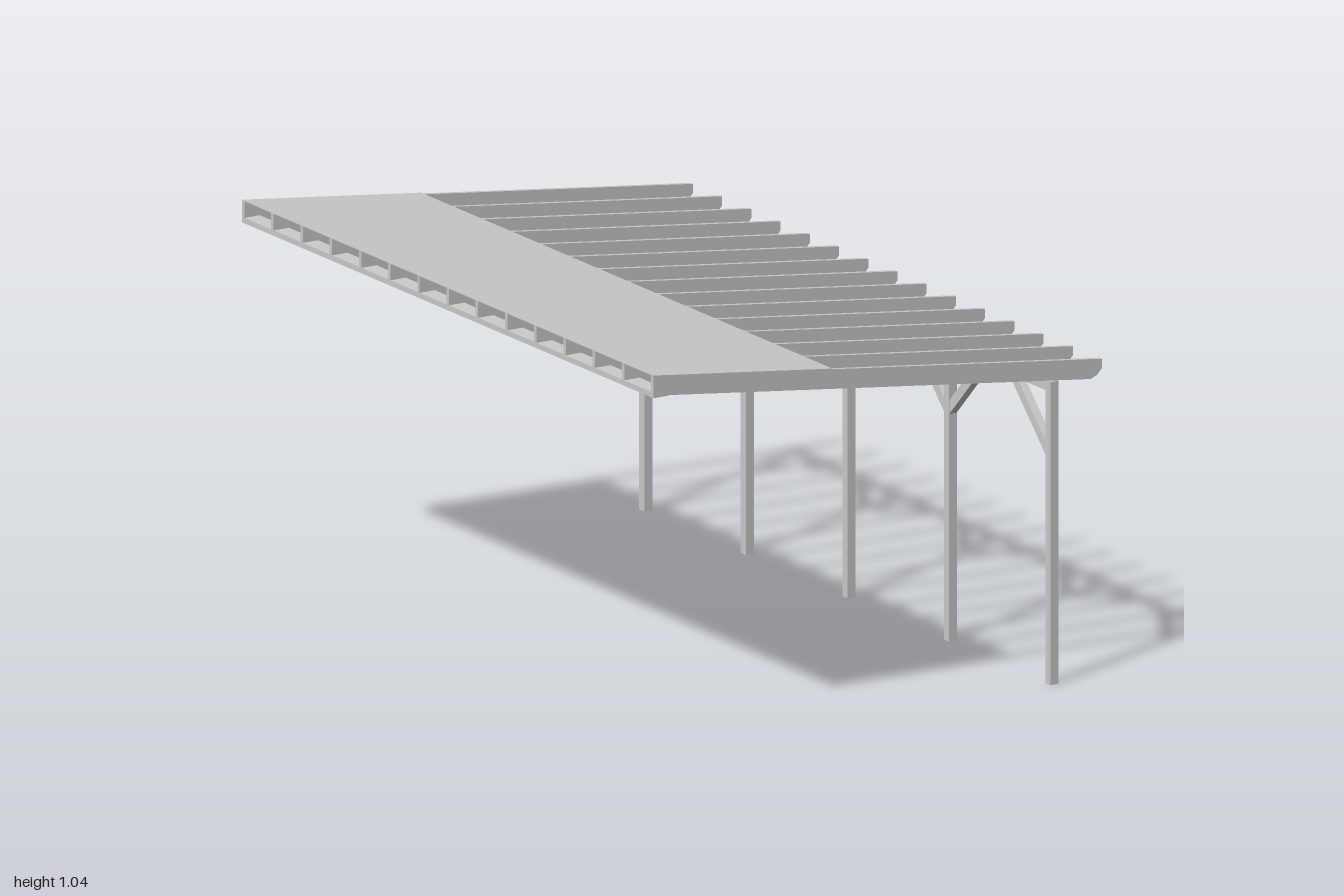
import * as THREE from 'three';

const material = new THREE.MeshStandardMaterial({ color: 0xcccccc, flatShading: true });
const roofY = x => 0.951 - 0.12 * x; // top line of the rafters
const DEPTH = 0.053;                 // vertical depth of a rafter
const BEAM_X = 0.552;

function addBox(parent, name, w, h, d, x, y, z) {
  const mesh = new THREE.Mesh(new THREE.BoxGeometry(w, h, d), material);
  mesh.name = name;
  mesh.position.set(x, y, z);
  parent.add(mesh);
  return mesh;
}

// Extrude an outline, centred on its thickness
function plate(points, thickness) {
  const shape = new THREE.Shape(points.map(p => new THREE.Vector2(p[0], p[1])));
  const geometry = new THREE.ExtrudeGeometry(shape, { depth: thickness, bevelEnabled: false });
  return geometry.translate(0, 0, -thickness / 2);
}

export function createModel() {
  const model = new THREE.Group();
  model.name = 'leanToPergola';

  // Rafters: notched over the wall plate, clipped at the eave
  const rafterGeometry = plate([
    [-0.7, 0.99], [-0.652, 0.99], [-0.652, roofY(-0.652) - DEPTH],
    [0.665, 0.817], [0.685, 0.826], [0.7, 0.842],
    [0.7, roofY(0.7)], [-0.7, roofY(-0.7)],
  ], 0.012);
  const rafterCount = 15;
  const rafterZ = i => -0.994 + (1.988 * i) / (rafterCount - 1);
  const rafters = new THREE.Group();
  rafters.name = 'rafters';
  for (let i = 0; i < rafterCount; i++) {
    const rafter = new THREE.Mesh(rafterGeometry, material);
    rafter.name = 'rafter';
    rafter.position.z = rafterZ(i);
    rafters.add(rafter);
  }
  model.add(rafters);

  // Blocking between the rafters under the panel edge
  const blocking = new THREE.Group();
  blocking.name = 'blocking';
  const gap = rafterZ(1) - rafterZ(0) - 0.012;
  for (let i = 0; i < rafterCount - 1; i++) {
    const x = -0.147;
    const block = addBox(blocking, 'block', 0.012, DEPTH, gap,
      x, roofY(x) - DEPTH / 2 - 0.001, (rafterZ(i) + rafterZ(i + 1)) / 2);
    block.rotation.z = -Math.atan(0.12);
  }
  model.add(blocking);

  // Thin sheet covering the high side
  const panel = new THREE.Mesh(plate([
    [-0.7, roofY(-0.7)], [-0.141, roofY(-0.141)],
    [-0.141, roofY(-0.141) + 0.002], [-0.7, roofY(-0.7) + 0.002],
  ], 2), material);
  panel.name = 'roofPanel';
  model.add(panel);

  // Wall plate on the high side and beam on the low side
  addBox(model, 'wallPlate', 0.048, 0.015, 2, -0.676, 0.9825, 0);
  addBox(model, 'beam', 0.025, 0.028, 2, BEAM_X, 0.814, 0);

  // Posts with diagonal braces
  const braceGeometry = plate([
    [0.0125, 0.622], [0.19, 0.8], [0.152, 0.8], [0.0125, 0.66],
  ], 0.023);
  for (let i = -2; i <= 2; i++) {
    const z = i * 0.4935;
    addBox(model, 'post', 0.025, 0.8, 0.025, BEAM_X, 0.4, z);
    for (const side of [-1, 1]) {
      if (side * i === 2) continue; // nothing beyond the end posts
      const brace = new THREE.Mesh(braceGeometry, material);
      brace.name = 'brace';
      brace.position.set(BEAM_X, 0, z);
      brace.rotation.y = -side * Math.PI / 2;
      model.add(brace);
    }
  }
  return model;
}
